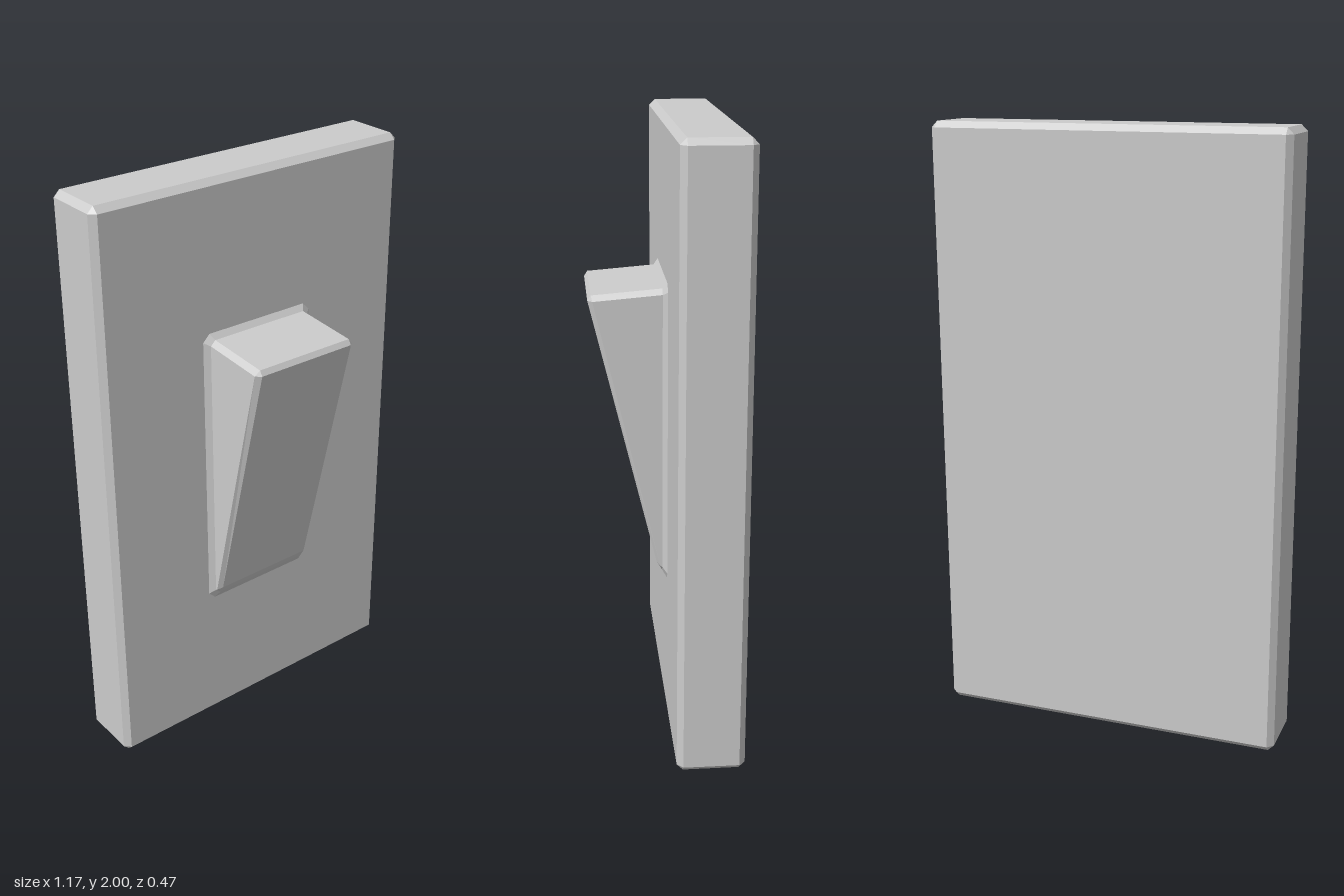
import * as THREE from 'three';

// Rectangle ring with cut corners, counter-clockwise from the front; z runs from z0 (bottom) to z1 (top)
function ring(hx, y0, y1, cut, z0, z1 = z0) {
  const outline = [
    [hx - cut, y0], [hx, y0 + cut], [hx, y1 - cut], [hx - cut, y1],
    [cut - hx, y1], [-hx, y1 - cut], [-hx, y0 + cut], [cut - hx, y0],
  ];
  return outline.map(([x, y]) => new THREE.Vector3(x, y, z0 + (z1 - z0) * (y - y0) / (y1 - y0)));
}

// Closed solid through rings ordered from back to front
function loft(name, rings, material) {
  const points = [];
  const n = rings[0].length;
  for (let i = 0; i < rings.length - 1; i++) {
    for (let j = 0; j < n; j++) {
      const k = (j + 1) % n;
      const a = rings[i][j], b = rings[i][k], c = rings[i + 1][k], d = rings[i + 1][j];
      points.push(a, b, c, a, c, d);
    }
  }
  const back = rings[0], front = rings[rings.length - 1];
  for (let j = 1; j < n - 1; j++) {
    points.push(front[0], front[j], front[j + 1], back[0], back[j + 1], back[j]);
  }
  const geometry = new THREE.BufferGeometry().setFromPoints(points);
  geometry.computeVertexNormals();
  const mesh = new THREE.Mesh(geometry, material);
  mesh.name = name;
  return mesh;
}

export function createModel() {
  const group = new THREE.Group();
  group.name = 'lightSwitch';
  const material = new THREE.MeshStandardMaterial({ color: 0xcccccc, flatShading: true });

  // Wall plate with every edge chamfered
  const c = 0.02;
  group.add(loft('wallPlate', [
    ring(0.585 - c, c, 2 - c, 0, -0.235),
    ring(0.585, 0, 2, c, -0.235 + c),
    ring(0.585, 0, 2, c, -0.015 - c),
    ring(0.585 - c, c, 2 - c, 0, -0.015),
  ], material));

  // Sloped collar where the rocker meets the plate
  group.add(loft('collar', [
    ring(0.215, 0.5, 1.51, 0.025, -0.016),
    ring(0.195, 0.525, 1.49, 0.017, 0),
  ], material));

  // Tilted rocker, thick at the top, with a chamfered front face
  group.add(loft('rocker', [
    ring(0.195, 0.525, 1.49, 0.017, 0),
    ring(0.195, 0.53, 1.472, 0.017, 0.003, 0.224),
    ring(0.178, 0.555, 1.455, 0, 0.018, 0.235),
  ], material));

  return group;
}
